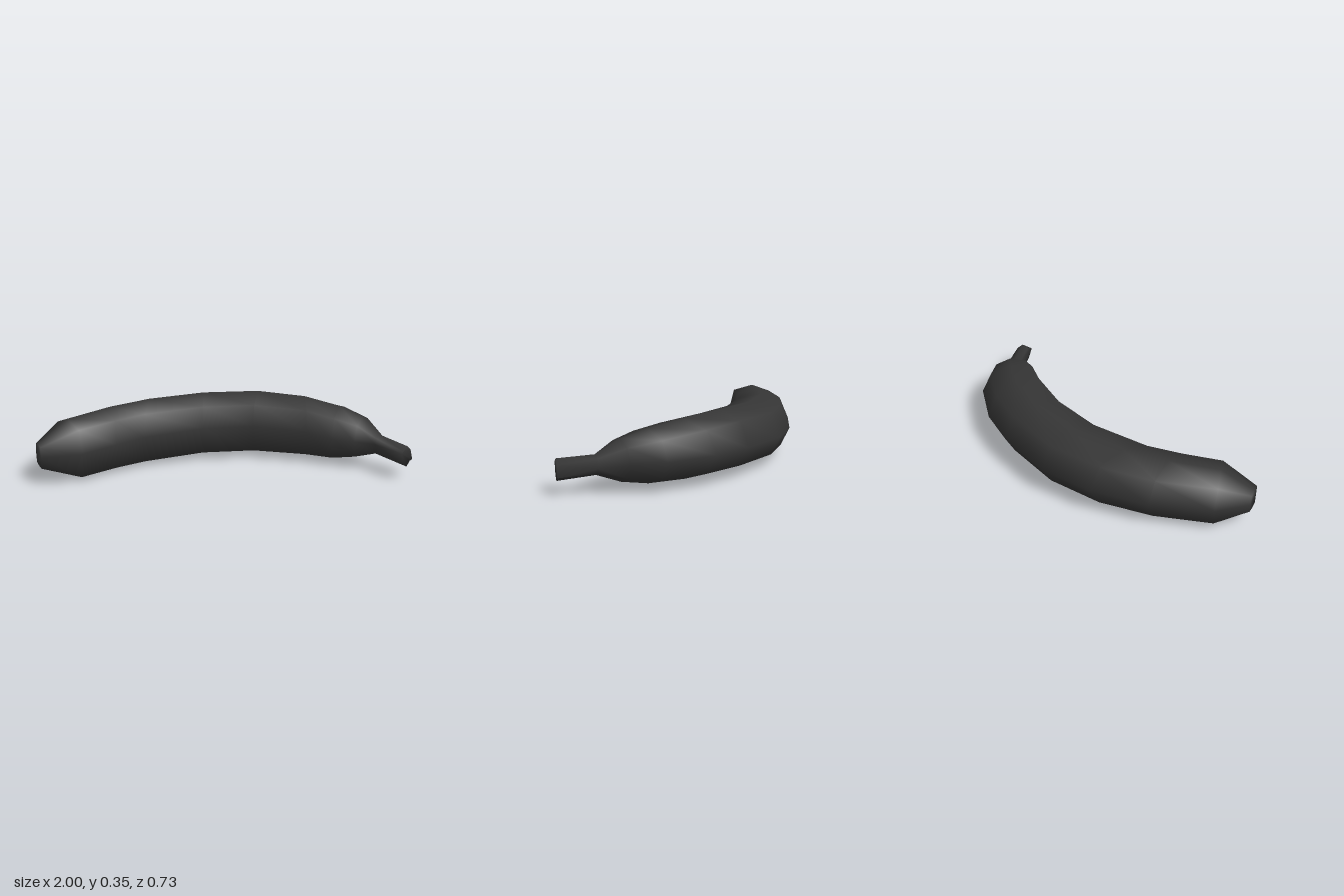
import * as THREE from 'three';

const SIDES = 8;

// Rings from blossom tip to stem:
// outer x,z, inner x,z, bottom y, top y, rise of the inner side, corner fullness
const RINGS = [
  [-1.0, 0.27, -0.96, 0.362, 0.095, 0.215, 0, 1.2],
  [-0.92, 0.09, -0.75, 0.33, 0.007, 0.316, 0, 1.05],
  [-0.67, -0.13, -0.58, 0.22, 0.003, 0.332, 0.005, 1],
  [-0.39, -0.28, -0.44, 0.13, 0.002, 0.34, 0.01, 1],
  [-0.10, -0.365, -0.12, 0.03, 0.014, 0.347, 0.015, 1],
  [0.24, -0.355, 0.16, 0.02, 0.02, 0.353, 0.015, 1],
  [0.47, -0.30, 0.45, 0.097, 0.022, 0.338, 0.01, 1],
  [0.71, -0.17, 0.58, 0.16, 0.027, 0.308, 0, 1],
  [0.82, -0.03, 0.70, 0.185, 0.05, 0.27, 0, 1],
  [0.87, 0.13, 0.81, 0.21, 0.09, 0.195, 0.01, 1],
  [0.998, 0.28, 0.92, 0.363, 0.066, 0.18, 0.03, 0.8],
];

// Fullness of each direction around a ring: the lower inner edge bulges most
const FULLNESS = [1, 1.07, 1, 1, 1, 1, 1, 1.17];

// Points of one ring, starting at the inner side and turning upward
function ringPoints([ox, oz, ix, iz, y0, y1, rise, corner]) {
  return FULLNESS.map((full, j) => {
    const a = (j / SIDES) * Math.PI * 2;
    const r = j % 2 ? full * corner : full;
    const c = r * Math.cos(a), s = r * Math.sin(a);
    return [
      (ox + ix) / 2 + ((ix - ox) / 2) * c,
      (y0 + y1) / 2 + ((y1 - y0) / 2) * s + (j % 2 ? 0 : rise * c),
      (oz + iz) / 2 + ((iz - oz) / 2) * c,
    ];
  });
}

export function createModel() {
  const group = new THREE.Group();
  group.name = 'banana';

  // Curved skin lofted through the rings, including the stem
  const index = [];
  const last = (RINGS.length - 1) * SIDES;
  for (let a0 = 0; a0 < last; a0 += SIDES) {
    for (let j = 0; j < SIDES; j++) {
      const a = a0 + j, b = a0 + ((j + 1) % SIDES);
      index.push(a, a + SIDES, b, b, a + SIDES, b + SIDES);
    }
  }

  // Blossom tip and stem end, closed with fans that share the skin's normals
  for (let j = 1; j < SIDES - 1; j++) {
    index.push(0, j, j + 1);
    index.push(last, last + j + 1, last + j);
  }

  const geometry = new THREE.BufferGeometry();
  const points = RINGS.flatMap(ringPoints).flat();
  geometry.setAttribute('position', new THREE.Float32BufferAttribute(points, 3));
  geometry.setIndex(index);
  geometry.computeVertexNormals();

  const skin = new THREE.Mesh(geometry, new THREE.MeshStandardMaterial({ color: 0x363636 }));
  skin.name = 'bananaSkin';
  group.add(skin);
  return group;
}
